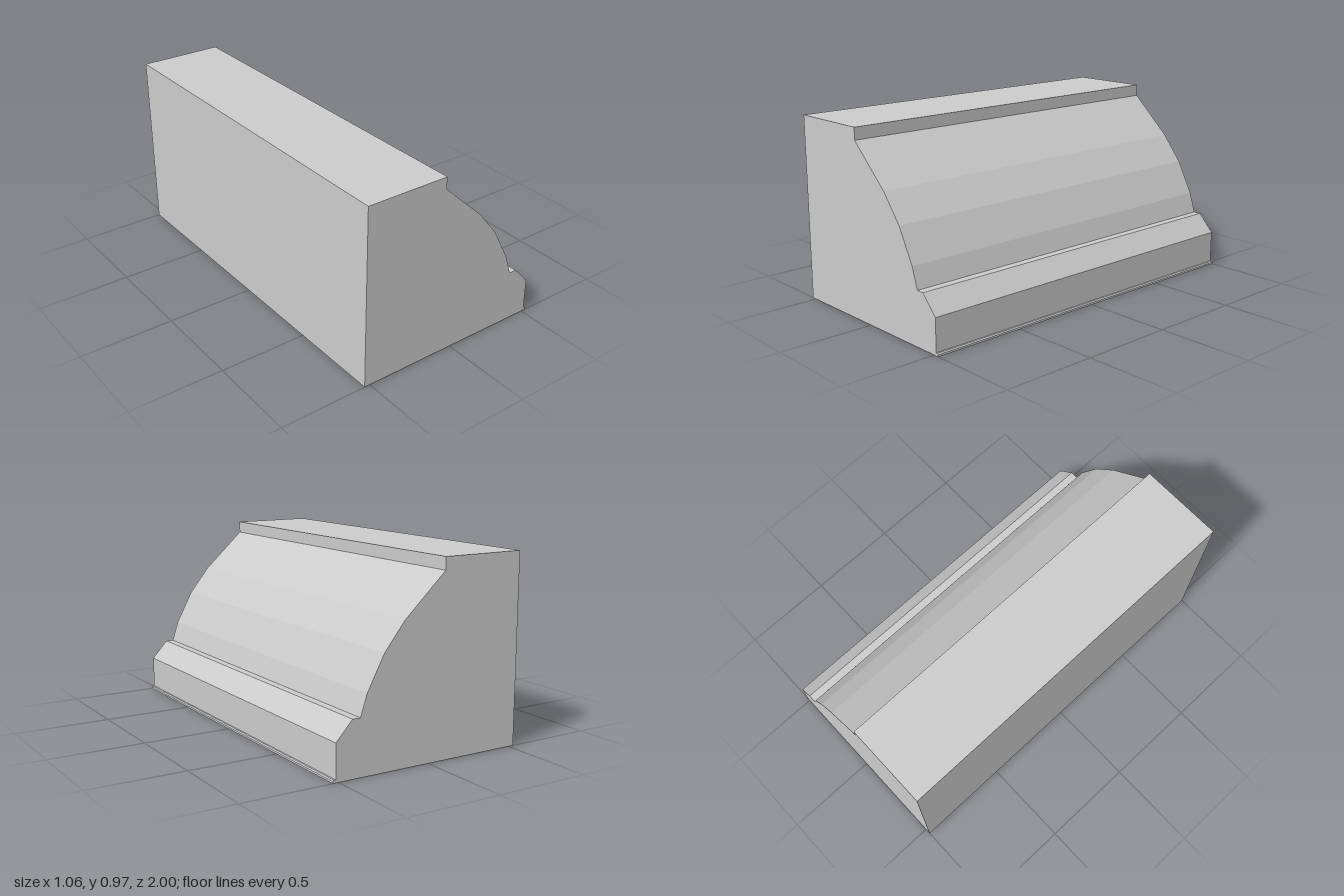
import * as THREE from 'three';

const LENGTH = 2;

// Cross-section of the moulding, counter-clockwise from the bottom back corner
const PROFILE = [
  [-0.53, 0], [0.53, 0],
  [0.53, 0.01], [0.524, 0.015], [0.515, 0.015], // thin foot lip
  [0.515, 0.185], [0.427, 0.28], [0.385, 0.28], // chamfered base and ledge
  [0.35, 0.387], [0.258, 0.56], [0.145, 0.7], [-0.08, 0.907], // faceted quarter round
  [-0.08, 0.97], [-0.53, 0.97], // top fillet and flat top
];

export function createModel() {
  const group = new THREE.Group();
  group.name = 'moulding';

  const shape = new THREE.Shape(PROFILE.map(([x, y]) => new THREE.Vector2(x, y)));
  const geometry = new THREE.ExtrudeGeometry(shape, { depth: LENGTH, bevelEnabled: false });
  geometry.translate(0, 0, -LENGTH / 2);

  const material = new THREE.MeshStandardMaterial({ color: 0xcccccc, flatShading: true });
  const strip = new THREE.Mesh(geometry, material);
  strip.name = 'mouldingStrip';
  group.add(strip);
  return group;
}
